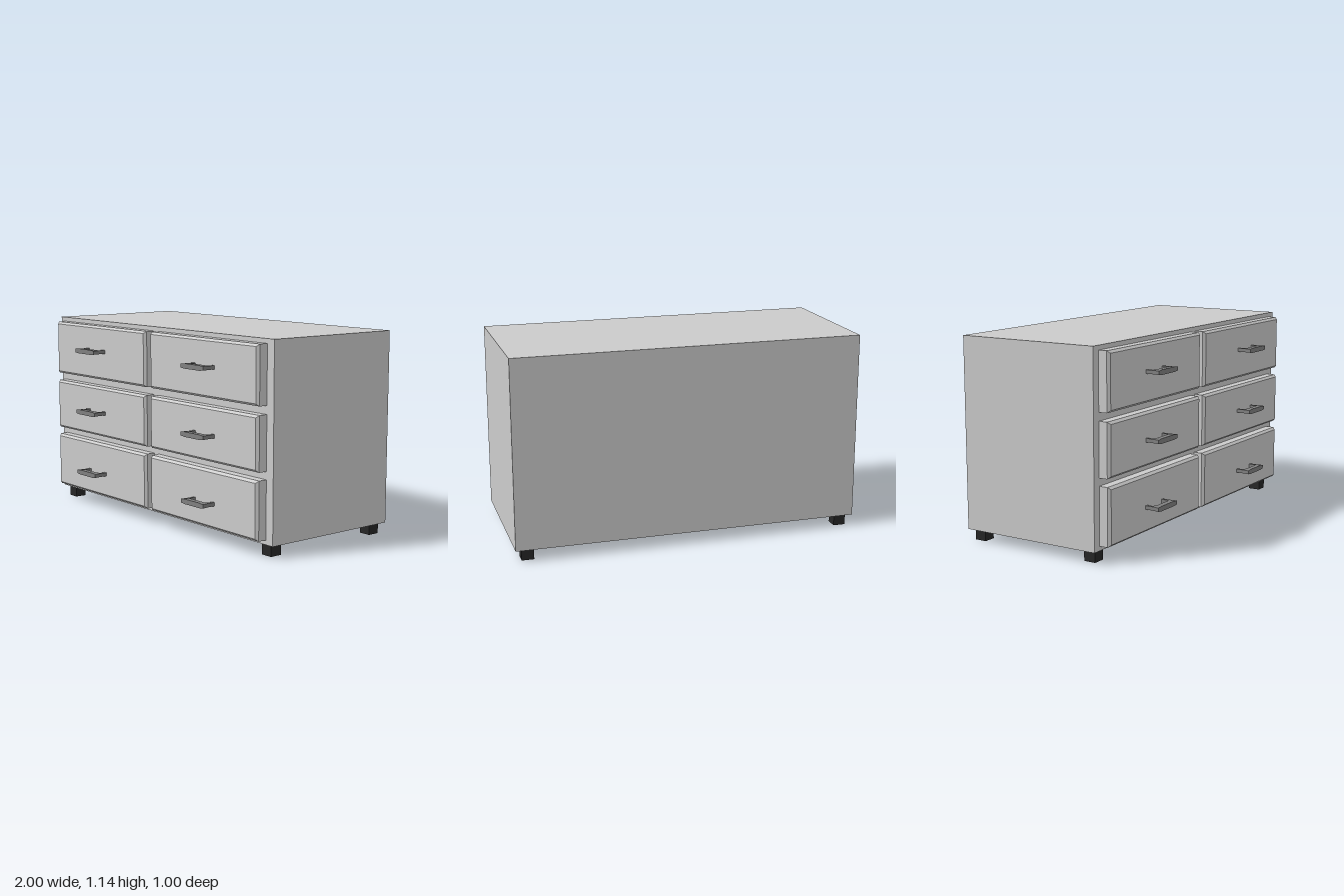
import * as THREE from 'three';

const grey = new THREE.MeshStandardMaterial({ color: 0xcccccc });
const handleGrey = new THREE.MeshStandardMaterial({ color: 0x808080 });
const black = new THREE.MeshStandardMaterial({ color: 0x262626 });

function add(parent, name, geometry, material, x, y, z) {
  const mesh = new THREE.Mesh(geometry, material);
  mesh.name = name;
  mesh.position.set(x, y, z);
  parent.add(mesh);
}

// Drawer front with a chamfered face; its rear chamfer is sunk into the cabinet
function drawerGeometry(w, h) {
  const shape = new THREE.Shape([
    new THREE.Vector2(-w / 2, -h / 2), new THREE.Vector2(w / 2, -h / 2),
    new THREE.Vector2(w / 2, h / 2), new THREE.Vector2(-w / 2, h / 2),
  ]);
  return new THREE.ExtrudeGeometry(shape, {
    depth: 0.05, bevelEnabled: true, bevelSegments: 1,
    bevelSize: 0.013, bevelThickness: 0.015, bevelOffset: -0.013,
  });
}

// U-shaped pull drawn in plan (x, z), thicker in the middle of the grip
function handleGeometry() {
  const half = [
    [0.065, 0.086], [0.096, 0.086], [0.09, 0.045], [0.09, -0.005],
    [0.073, -0.005], [0.073, 0.035], [0.064, 0.054],
  ];
  const mirrored = half.map(([x, z]) => [-x, z]).reverse();
  const shape = new THREE.Shape([...half, ...mirrored].map(([x, z]) => new THREE.Vector2(x, z)));
  const g = new THREE.ExtrudeGeometry(shape, { depth: 1, bevelEnabled: false });
  g.translate(0, 0, -0.5).rotateX(Math.PI / 2);
  const p = g.attributes.position;
  for (let i = 0; i < p.count; i++) {
    const thickness = Math.abs(p.getX(i)) < 0.07 ? 0.028 : 0.021;
    p.setY(i, p.getY(i) * thickness);
  }
  g.computeVertexNormals();
  return g;
}

export function createModel() {
  const model = new THREE.Group();
  model.name = 'dresser';

  // Cabinet
  add(model, 'cabinet', new THREE.BoxGeometry(2, 1.08, 0.85), grey, 0, 0.605, -0.075);

  // Feet
  const foot = new THREE.BoxGeometry(0.07, 0.065, 0.07);
  for (const x of [-0.93, 0.93]) {
    for (const z of [-0.443, 0.295]) add(model, 'foot', foot, black, x, 0.0325, z);
  }

  // Two columns of three drawers, each with a handle
  const handle = handleGeometry();
  const rows = [[0.09, 0.412, 0.23], [0.455, 0.754, 0.601], [0.8, 1.12, 0.971]];
  const columns = [[-0.952, -0.025, -0.517], [0.02, 0.947, 0.513]];
  for (const [bottom, top, handleY] of rows) {
    for (const [left, right, handleX] of columns) {
      const drawer = new THREE.Group();
      drawer.name = 'drawer';
      add(drawer, 'drawerFront', drawerGeometry(right - left, top - bottom), grey,
        (left + right) / 2, (bottom + top) / 2, 0.35);
      add(drawer, 'handle', handle, handleGrey, handleX, handleY, 0.414);
      model.add(drawer);
    }
  }
  return model;
}
